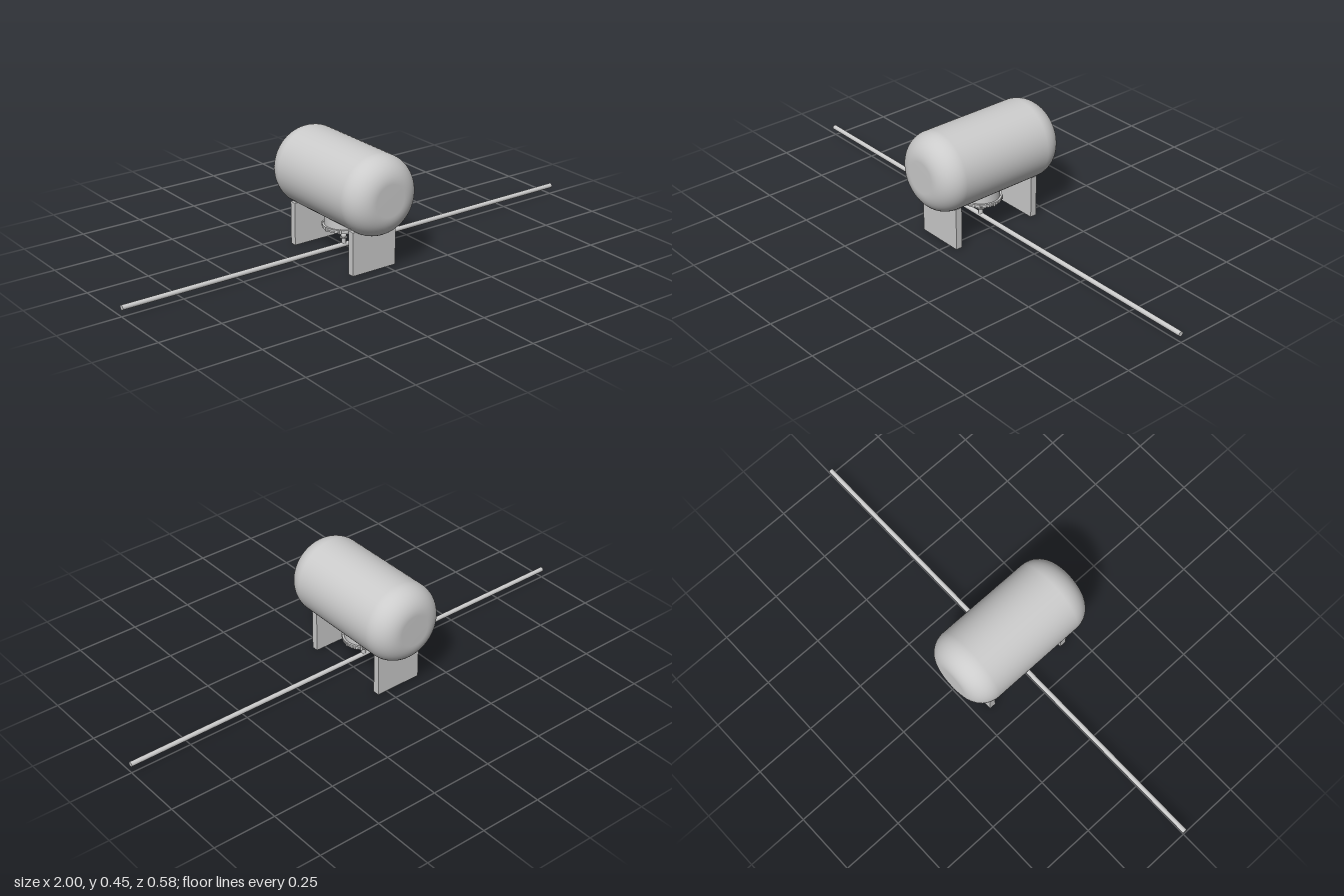
import * as THREE from 'three';

const CX = -0.052, CY = 0.298, CZ = 0.003; // tank axis and outlet position
const material = new THREE.MeshStandardMaterial({ color: 0xcccccc });

export function createModel() {
  const group = new THREE.Group();

  const add = (name, geometry, x, y, z) => {
    const mesh = new THREE.Mesh(geometry, material);
    mesh.name = name;
    mesh.position.set(x, y, z);
    group.add(mesh);
    return mesh;
  };
  // Upright disc or pipe between two heights
  const upright = (name, radius, y0, y1, x = CX, z = CZ, sides = 48) =>
    add(name, new THREE.CylinderGeometry(radius, radius, y1 - y0, sides), x, (y0 + y1) / 2, z);

  // Tank: cylinder with generously rounded, flat-centred ends
  const R = 0.156, half = 0.289, fillet = 0.093;
  const profile = [new THREE.Vector2(0, -half)];
  for (const end of [-1, 1]) {
    for (let i = 0; i <= 14; i++) {
      const a = (i / 14 - (end < 0 ? 1 : 0)) * Math.PI / 2;
      profile.push(new THREE.Vector2(
        R - fillet + fillet * Math.cos(a),
        end * (half - fillet) + fillet * Math.sin(a)));
    }
  }
  profile.push(new THREE.Vector2(0, half));
  const tank = add('tank', new THREE.LatheGeometry(profile, 72), CX, CY, 0);
  tank.rotation.x = Math.PI / 2;

  // Plate supports under both ends
  add('frontSupport', new THREE.BoxGeometry(0.194, 0.171, 0.027), -0.057, 0.0855, 0.186);
  add('backSupport', new THREE.BoxGeometry(0.194, 0.171, 0.027), -0.057, 0.0855, -0.183);

  // Bottom manway: neck, pair of flanges and bolts
  upright('manwayNeck', 0.073, 0.12, 0.175);
  upright('manwayFlange', 0.081, 0.1175, 0.124);
  upright('manwayCover', 0.081, 0.111, 0.1165);
  upright('manwayGasket', 0.079, 0.1165, 0.1175);
  for (let i = 0; i < 8; i++) {
    const a = i * Math.PI / 4;
    upright('flangeBolt', 0.0045, 0.1095, 0.1255,
      CX + 0.0795 * Math.cos(a), CZ + 0.0795 * Math.sin(a), 12);
  }

  // Outlet pipe with a flanged ball valve
  upright('outletPipe', 0.009, 0.036, 0.112, CX, CZ, 24);
  upright('valveFlange', 0.014, 0.0835, 0.0855, CX, CZ, 24);
  upright('valveFlange', 0.014, 0.064, 0.066, CX, CZ, 24);
  add('valveBall', new THREE.SphereGeometry(0.0115, 24, 16), CX, 0.075, CZ);

  // Long horizontal main pipe
  const main = add('mainPipe', new THREE.CylinderGeometry(0.0095, 0.0095, 2, 24), 0, 0.036, CZ);
  main.rotation.z = Math.PI / 2;

  return group;
}
